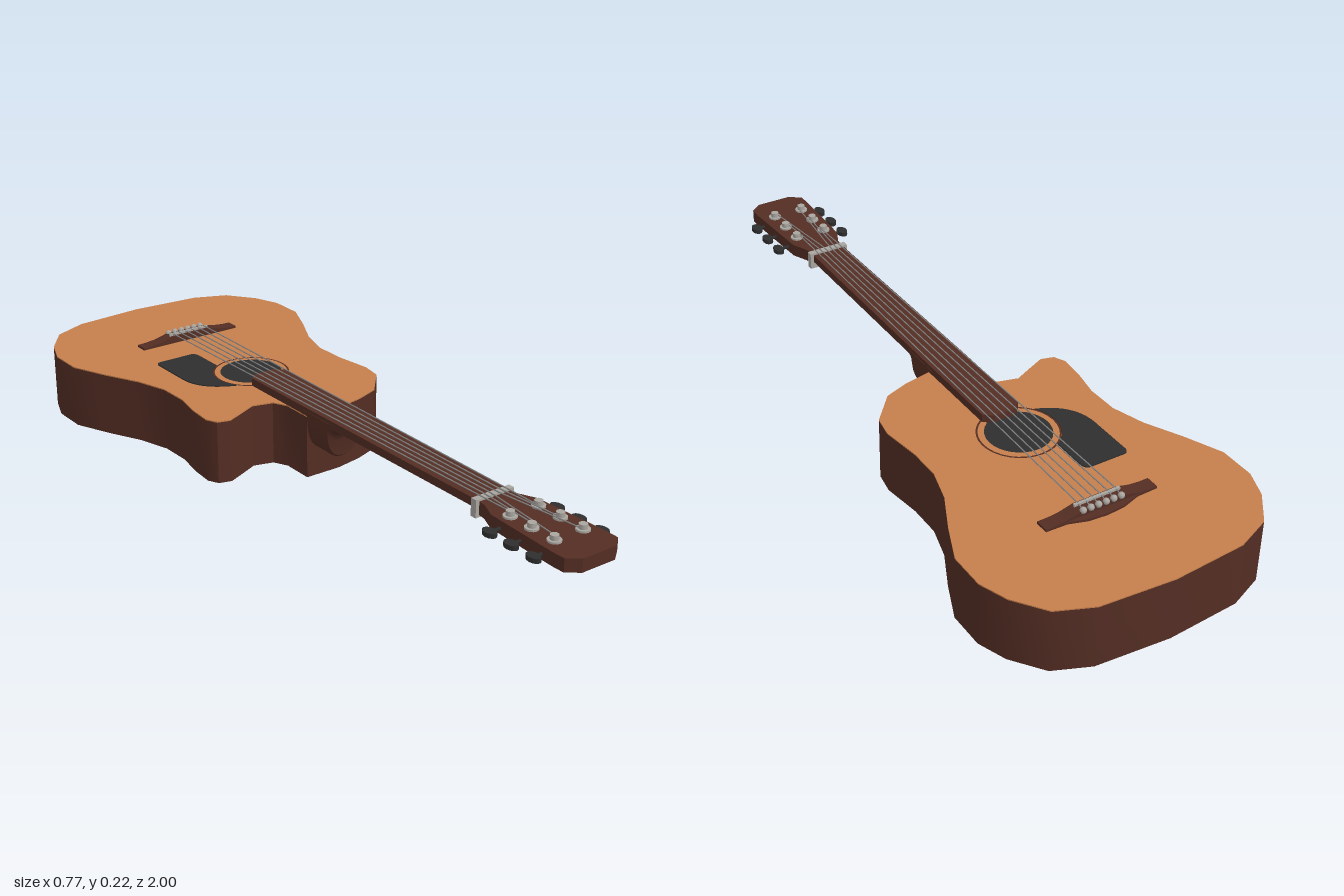
import * as THREE from 'three';
import { toCreasedNormals } from 'three/addons/utils/BufferGeometryUtils.js';

const mat = (name, color, side = THREE.FrontSide) => {
  const m = new THREE.MeshStandardMaterial({ color, side });
  m.name = name;
  return m;
};

// Outline given as [x, z] pairs, laid flat in the ground plane
const outline = (pts) => new THREE.Shape(pts.map(([x, z]) => new THREE.Vector2(x, -z)));
const mirrored = (half) => [...half, ...half.slice().reverse().map(([x, z]) => [-x, z])];

function slab(shape, y0, y1) {
  const g = new THREE.ExtrudeGeometry(shape, { depth: y1 - y0, bevelEnabled: false, curveSegments: 10 });
  g.rotateX(-Math.PI / 2).translate(0, y0, 0);
  return toCreasedNormals(g, 0.6);
}

// Rounded underside lofted along z; each section is [z, halfWidth, bottomY]
function loftNeck(sections, top) {
  const n = 14, pos = [], idx = [];
  for (const [z, w, bottom] of sections) {
    for (let i = 0; i <= n; i++) {
      const a = Math.PI * i / n, c = Math.cos(a), s = Math.max(0, Math.sin(a));
      pos.push(w * Math.sign(c) * Math.abs(c) ** 0.75, top - (top - bottom) * s ** 0.75, z);
    }
  }
  const m = n + 1;
  for (let k = 0; k < sections.length - 1; k++) {
    for (let i = 0; i < m; i++) {
      const a = k * m + i, b = k * m + (i + 1) % m;
      idx.push(a, a + m, b, b, a + m, b + m);
    }
  }
  const g = new THREE.BufferGeometry();
  g.setAttribute('position', new THREE.Float32BufferAttribute(pos, 3));
  g.setIndex(idx);
  return toCreasedNormals(g, 0.7);
}

export function createModel() {
  const root = new THREE.Group();
  root.name = 'guitar';
  const wood = mat('darkWood', 0x532d23);
  const spruce = mat('topWood', 0xc57e4b);
  const black = mat('black', 0x2e2e2e);
  const metal = mat('metal', 0xa9a59f);
  const steel = mat('stringSteel', 0x858585);

  const add = (name, geometry, material, x = 0, y = 0, z = 0, parent = root) => {
    const mesh = new THREE.Mesh(geometry, material);
    mesh.name = name;
    mesh.position.set(x, y, z);
    parent.add(mesh);
    return mesh;
  };

  // Body with a cutaway on the -x shoulder
  const body = outline([
    [0, -1], [0.2, -0.985], [0.295, -0.945], [0.355, -0.865], [0.383, -0.79], [0.383, -0.69],
    [0.34, -0.59], [0.29, -0.49], [0.265, -0.4], [0.265, -0.31], [0.28, -0.2], [0.27, -0.14],
    [0.2, -0.06], [0.13, -0.035], [0.05, -0.02], [-0.055, -0.02], [-0.055, -0.11], [-0.075, -0.15],
    [-0.13, -0.165], [-0.18, -0.142], [-0.23, -0.12], [-0.265, -0.13], [-0.28, -0.16],
    [-0.275, -0.23], [-0.26, -0.31], [-0.262, -0.4],
    [-0.29, -0.49], [-0.34, -0.59], [-0.383, -0.69], [-0.383, -0.79], [-0.355, -0.865],
    [-0.295, -0.945], [-0.2, -0.985],
  ]);
  add('body', slab(body, 0, 0.175), wood);
  add('soundboard', slab(body, 0.175, 0.178), spruce);

  // Sound hole and rosette
  add('soundHole', new THREE.CircleGeometry(0.086, 32).rotateX(-Math.PI / 2), black, 0, 0.1805, -0.365);
  add('rosette', new THREE.RingGeometry(0.102, 0.107, 32).rotateX(-Math.PI / 2), wood, 0, 0.1795, -0.365);

  // Pickguard, cut around the rosette
  const guard = new THREE.Shape();
  guard.moveTo(-0.17, 0.572);
  guard.lineTo(-0.07, 0.572);
  guard.quadraticCurveTo(-0.055, 0.57, -0.055, 0.55);
  guard.lineTo(-0.055, 0.457);
  guard.absarc(0, 0.365, 0.107, 2.11, 3.75, false);
  guard.quadraticCurveTo(-0.185, 0.34, -0.185, 0.43);
  guard.lineTo(-0.185, 0.555);
  guard.quadraticCurveTo(-0.185, 0.572, -0.17, 0.572);
  add('pickguard', slab(guard, 0.178, 0.181), black);

  // Neck, with its heel at the body end
  add('neck', loftNeck([
    [-0.04, 0.055, 0.08], [0.06, 0.055, 0.08], [0.068, 0.055, 0.086], [0.071, 0.055, 0.13],
    [0.08, 0.054, 0.152], [0.105, 0.053, 0.165], [0.67, 0.048, 0.167],
  ], 0.19), wood);
  add('fretboard', slab(outline(mirrored([
    [0.03, -0.3], [0.054, -0.28], [0.054, 0], [0.049, 0.65],
  ])), 0.178, 0.2), wood);
  add('nut', new THREE.BoxGeometry(0.118, 0.047, 0.018), metal, 0, 0.182, 0.649);

  // Headstock
  add('headstock', slab(outline(mirrored([
    [0.048, 0.65], [0.052, 0.68], [0.072, 0.725], [0.076, 0.8], [0.083, 0.94], [0.082, 0.975], [0.05, 1],
  ])), 0.165, 0.2), wood);

  // Tuners: three on each side
  for (const side of [-1, 1]) {
    for (const z of [0.758, 0.83, 0.903]) {
      const tuner = new THREE.Group();
      tuner.name = 'tuner';
      tuner.position.set(0, 0, z);
      root.add(tuner);
      add('bushing', new THREE.CylinderGeometry(0.018, 0.018, 0.006, 12), metal, side * 0.044, 0.202, 0, tuner);
      add('post', new THREE.CylinderGeometry(0.011, 0.011, 0.018, 10), metal, side * 0.044, 0.208, 0, tuner);
      add('shaft', new THREE.CylinderGeometry(0.005, 0.005, 0.04, 8).rotateZ(Math.PI / 2),
        black, side * 0.083, 0.179, 0, tuner);
      const knob = new THREE.CylinderGeometry(0.021, 0.021, 0.012, 12).scale(0.68, 1, 1);
      add('knob', knob, black, side * 0.105, 0.178, 0, tuner);
    }
  }

  // Bridge: thin wings and a raised middle
  add('bridgeWings', slab(outline(mirrored([
    [0, -0.742], [0.05, -0.738], [0.1, -0.722], [0.158, -0.72], [0.158, -0.683], [0, -0.683],
  ].slice(0, 5))), 0.178, 0.184), wood);
  const arch = outline([[-0.15, -0.183], [0.15, -0.183], [0.1, -0.188], [0.06, -0.198], [-0.06, -0.198], [-0.1, -0.188]]);
  const archGeo = new THREE.ExtrudeGeometry(arch, { depth: 0.036, bevelEnabled: false });
  add('bridgeArch', archGeo, wood, 0, 0, -0.72);
  add('saddle', new THREE.BoxGeometry(0.13, 0.008, 0.007), metal, 0, 0.2, -0.695);

  // Strings: bridge pin, saddle, nut, tuner post
  for (let i = 0; i < 6; i++) {
    const t = i / 2.5 - 1;
    const row = i < 3 ? i : 5 - i;
    const pts = [
      [t * 0.054, 0.199, -0.718], [t * 0.054, 0.204, -0.695], [t * 0.038, 0.208, 0.649],
      [(i < 3 ? -1 : 1) * 0.036, 0.208, [0.758, 0.83, 0.903][row]],
    ].map((p) => new THREE.Vector3(...p));
    const path = new THREE.CurvePath();
    for (let k = 0; k < 3; k++) path.add(new THREE.LineCurve3(pts[k], pts[k + 1]));
    add('string', new THREE.TubeGeometry(path, 48, 0.0018, 5), steel);
    add('bridgePin', new THREE.SphereGeometry(0.009, 10, 6), metal, t * 0.054, 0.198, -0.718);
  }
  return root;
}
